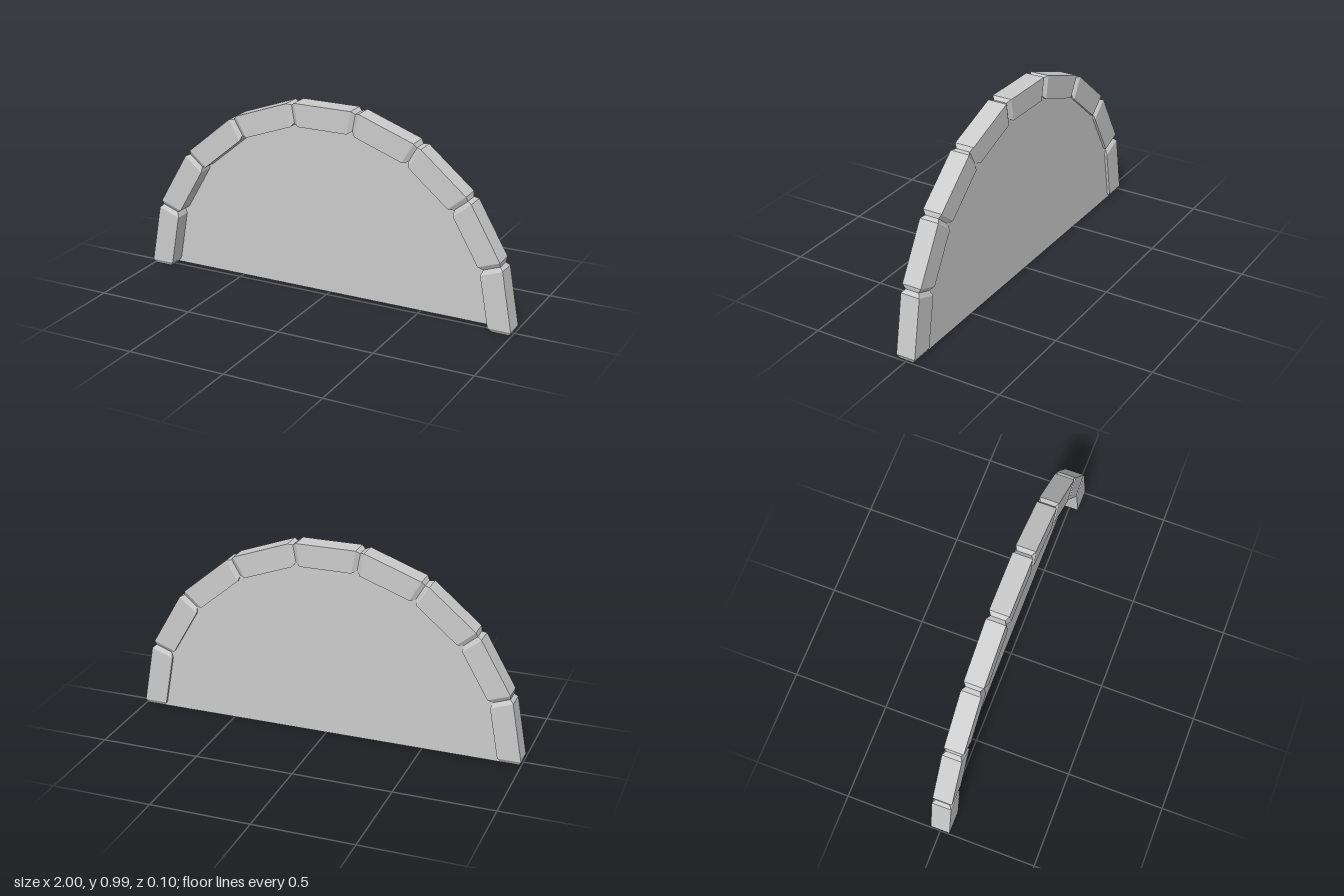
import * as THREE from 'three';

const COUNT = 9;
const STEP = Math.PI / COUNT;
const INNER = 0.872, OUTER = 0.988; // distance of the straight brick faces from the centre
const DEPTH = 0.1, GAP = 0.022, INSET = 0.014, PANEL_Z = -0.036;

// Wedge brick: x is radial, y runs along the arch, both ends are chamfered to a smaller face
function brickGeometry() {
  const geo = new THREE.BoxGeometry(1, 1, 1, 1, 3, 1);
  const p = geo.attributes.position;
  for (let i = 0; i < p.count; i++) {
    const isEnd = Math.abs(p.getY(i)) > 0.4;
    const inset = isEnd ? INSET : 0;
    const r = p.getX(i) > 0 ? OUTER - inset : INNER + inset;
    const half = r * Math.tan(STEP / 2) - (isEnd ? 0 : GAP);
    const z = Math.sign(p.getZ(i)) * (DEPTH / 2 - inset);
    p.setXYZ(i, r, Math.sign(p.getY(i)) * half, z);
  }
  const flat = geo.toNonIndexed();
  flat.computeVertexNormals();
  return flat;
}

export function createModel() {
  const group = new THREE.Group();
  group.name = 'archedPanel';
  const material = new THREE.MeshStandardMaterial({ color: 0xcccccc, flatShading: true });

  // Ring of bricks
  const bricks = new THREE.Group();
  bricks.name = 'archBricks';
  const geo = brickGeometry();
  for (let i = 0; i < COUNT; i++) {
    const brick = new THREE.Mesh(geo, material);
    brick.name = 'brick' + (i + 1);
    brick.rotation.z = (i + 0.5) * STEP;
    bricks.add(brick);
  }
  group.add(bricks);

  // Thin infill near the back, its rim hidden inside the bricks
  const radius = (INNER + OUTER) / 2 / Math.cos(STEP / 2);
  const points = [];
  for (let i = 0; i <= COUNT; i++) {
    points.push(new THREE.Vector2(radius * Math.cos(i * STEP), radius * Math.sin(i * STEP)));
  }
  const panelMaterial = material.clone();
  panelMaterial.side = THREE.DoubleSide;
  const panel = new THREE.Mesh(new THREE.ShapeGeometry(new THREE.Shape(points)), panelMaterial);
  panel.name = 'infillPanel';
  panel.position.z = PANEL_Z;
  group.add(panel);

  return group;
}
